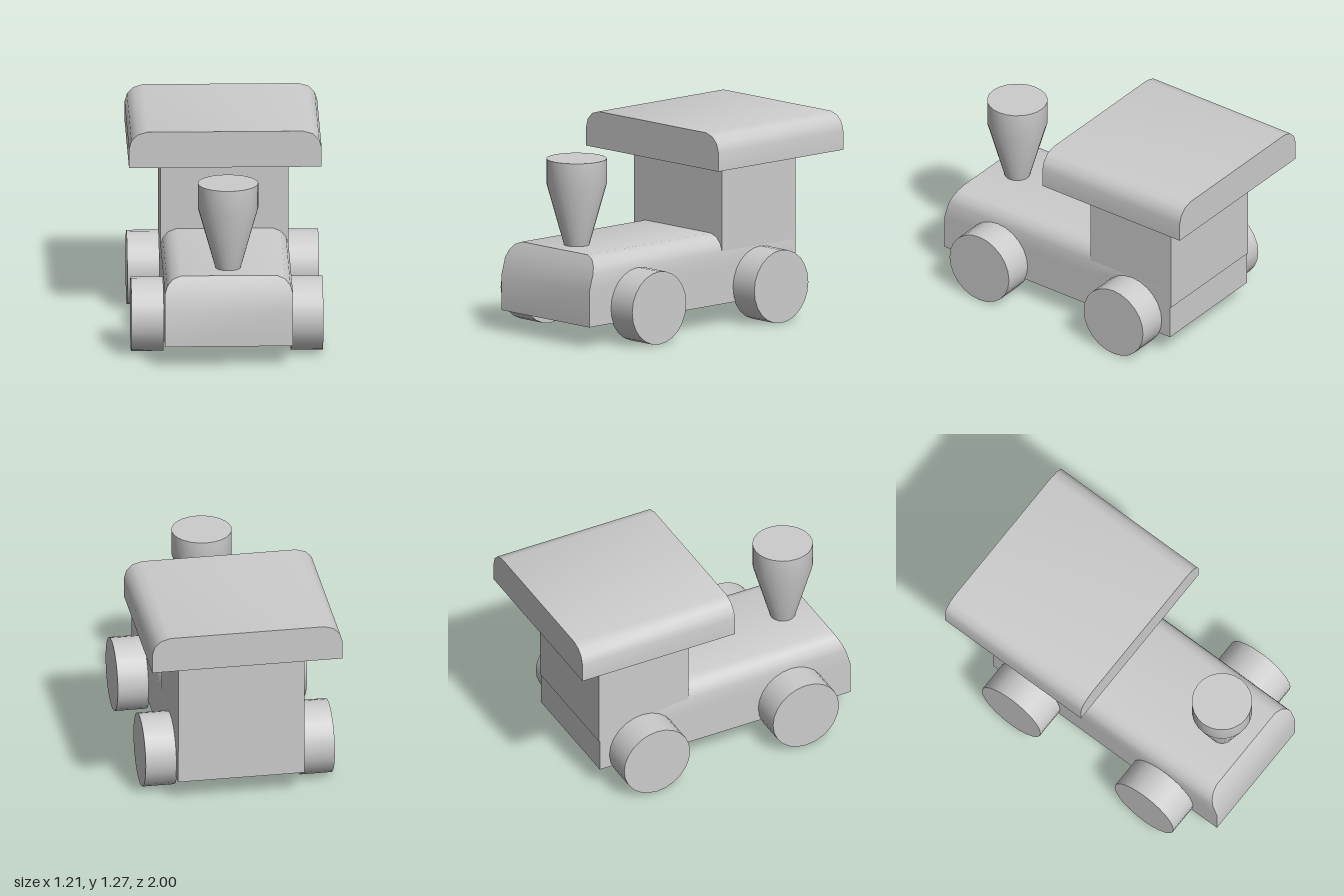
import * as THREE from 'three';
import { toCreasedNormals } from 'three/addons/utils/BufferGeometryUtils.js';

const material = new THREE.MeshStandardMaterial({ color: 0xcccccc });

function addMesh(parent, name, geometry, x = 0, y = 0, z = 0) {
  const mesh = new THREE.Mesh(geometry, material);
  mesh.name = name;
  mesh.position.set(x, y, z);
  parent.add(mesh);
  return mesh;
}

// Stacks rectangles upwards; each level is [halfWidth, y, frontZ]
function stackedBlock(levels, backZ) {
  const positions = [];
  const index = [];
  for (const [w, y, front] of levels) {
    positions.push(w, y, front, w, y, backZ, -w, y, backZ, -w, y, front);
  }
  for (let level = 0; level < levels.length - 1; level++) {
    for (let i = 0; i < 4; i++) {
      const a = level * 4 + i;
      const b = level * 4 + (i + 1) % 4;
      index.push(a, b, b + 4, a, b + 4, a + 4);
    }
  }
  const top = (levels.length - 1) * 4;
  index.push(0, 2, 1, 0, 3, 2, top, top + 1, top + 2, top, top + 2, top + 3);
  const geometry = new THREE.BufferGeometry();
  geometry.setAttribute('position', new THREE.Float32BufferAttribute(positions, 3));
  geometry.setIndex(index);
  return toCreasedNormals(geometry, 0.6);
}

export function createModel() {
  const group = new THREE.Group();
  group.name = 'toyTrain';

  // Long body with rounded shoulders and a nose that leans back
  addMesh(group, 'body', stackedBlock([
    [0.402, 0.14, 1], [0.402, 0.365, 1], [0.402, 0.475, 0.968],
    [0.387, 0.52, 0.95], [0.353, 0.56, 0.931], [0.3, 0.58, 0.92],
  ], -0.772));

  // Cab
  addMesh(group, 'cab', new THREE.BoxGeometry(0.804, 0.69, 0.633), 0, 0.705, -0.4615);

  // Overhanging roof with rounded long edges
  addMesh(group, 'roof', stackedBlock([
    [0.605, 1.043, 0.078], [0.605, 1.165, 0.078], [0.59, 1.217, 0.078],
    [0.55, 1.258, 0.078], [0.49, 1.276, 0.078],
  ], -1));

  // Flared chimney
  const chimneyProfile = [[0, 0.57], [0.077, 0.57], [0.19, 0.97], [0.19, 1.13], [0, 1.13]]
    .map(([r, y]) => new THREE.Vector2(r, y));
  addMesh(group, 'chimney',
    toCreasedNormals(new THREE.LatheGeometry(chimneyProfile, 24), 0.6), 0, 0, 0.73);

  // Four wheels
  const wheelGeometry = new THREE.CylinderGeometry(0.233, 0.233, 0.202, 24).rotateZ(Math.PI / 2);
  for (const [end, z] of [['front', 0.58], ['back', -0.473]]) {
    for (const [side, x] of [['Left', 0.496], ['Right', -0.506]]) {
      addMesh(group, `${end}${side}Wheel`, wheelGeometry, x, 0.236, z);
    }
  }

  return group;
}
